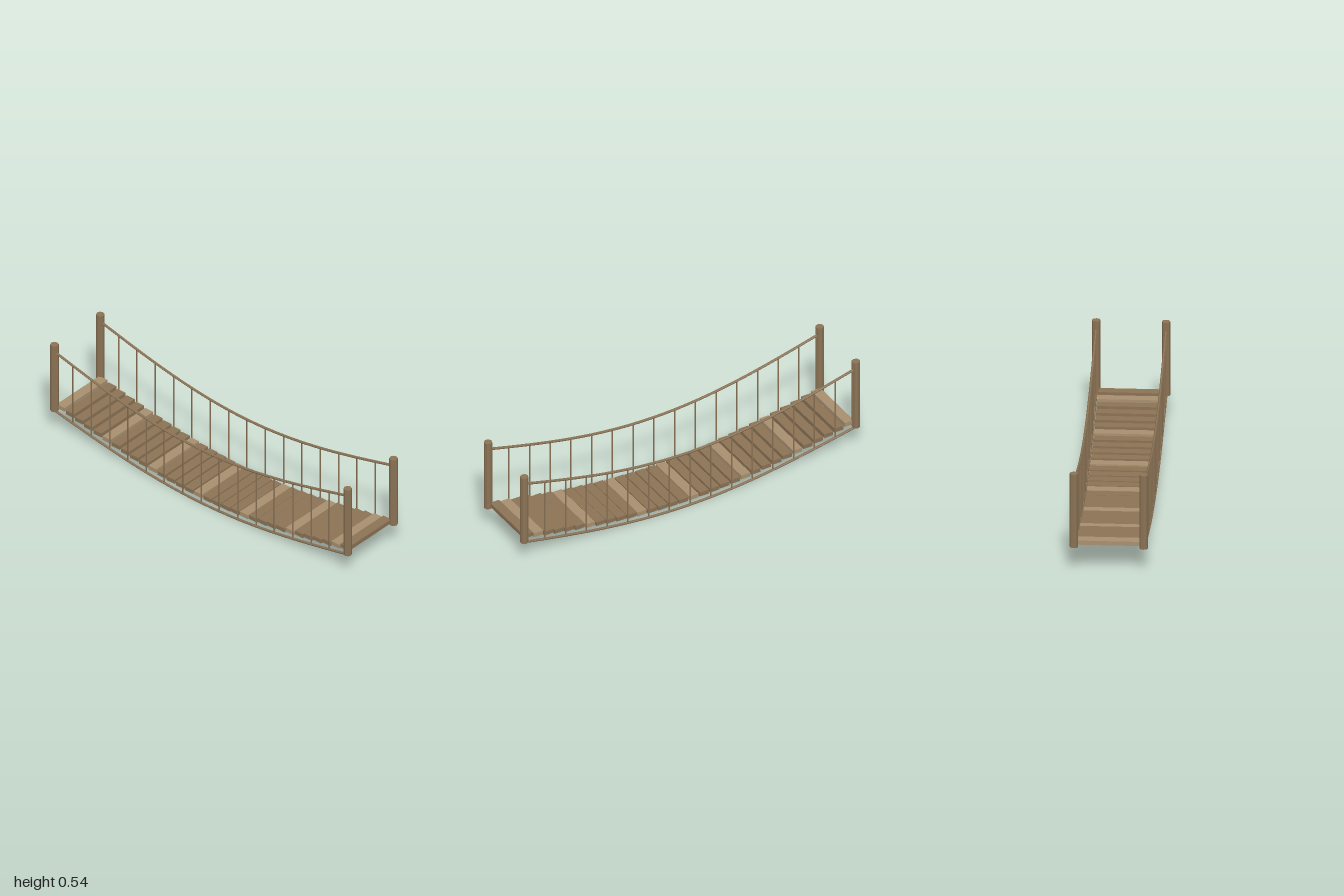
import * as THREE from 'three';

const HALF = 0.978;   // post x
const SIDE = 0.177;   // post and rope z

// Height of a sagging line at x, with end height and sag depth
const sagY = (x, end, sag) => end - sag * Math.cos((Math.PI / 2) * (x / HALF));
const deckRopeY = (x) => sagY(x, 0.132, 0.125);
const handRopeY = (x) => sagY(x, 0.492, 0.16);
const plankY = (x) => sagY(x, 0.16, 0.125);

export function createModel() {
  const wood = new THREE.MeshStandardMaterial({ color: 0x8b7355, flatShading: true });
  wood.name = 'wood';
  const paleWood = new THREE.MeshStandardMaterial({ color: 0xa89070, flatShading: true });
  paleWood.name = 'paleWood';
  const rope = new THREE.MeshStandardMaterial({ color: 0x8a7254, flatShading: true, side: THREE.DoubleSide });
  rope.name = 'rope';

  const model = new THREE.Group();
  model.name = 'ropeBridge';
  const add = (name, geometry, material, x, y, z) => {
    const mesh = new THREE.Mesh(geometry, material);
    mesh.name = name;
    mesh.position.set(x, y, z);
    model.add(mesh);
  };

  // Deck planks, every fifth one paler
  const plankGeometry = new THREE.BoxGeometry(0.053, 0.023, 0.33);
  for (let i = 0; i < 32; i++) {
    const x = (i - 15.5) * 0.0611;
    add('plank', plankGeometry, i % 5 === 0 ? paleWood : wood, x, plankY(x), 0);
  }

  // A rope following a sagging height rule
  const ropeGeometry = (heightAt) => {
    const points = [];
    for (let i = 0; i <= 20; i++) {
      const x = -HALF + (2 * HALF * i) / 20;
      points.push(new THREE.Vector3(x, heightAt(x), 0));
    }
    return new THREE.TubeGeometry(new THREE.CatmullRomCurve3(points), 32, 0.0068, 6, false);
  };
  const deckRope = ropeGeometry(deckRopeY);
  const handRope = ropeGeometry(handRopeY);
  const postGeometry = new THREE.CylinderGeometry(0.022, 0.022, 0.403, 8);

  for (const side of [1, -1]) {
    const z = side * SIDE;
    add('deckRope', deckRope, rope, 0, 0, z);
    add('handRope', handRope, rope, 0, 0, z);

    // End posts
    for (const end of [1, -1]) add('post', postGeometry, wood, end * HALF, 0.3355, z);

    // Hangers between the two ropes
    for (let i = 1; i < 16; i++) {
      const x = -HALF + (2 * HALF * i) / 16;
      const low = deckRopeY(x);
      const high = handRopeY(x);
      add('hanger', new THREE.CylinderGeometry(0.004, 0.004, high - low, 5), rope, x, (low + high) / 2, z);
    }
  }
  return model;
}
